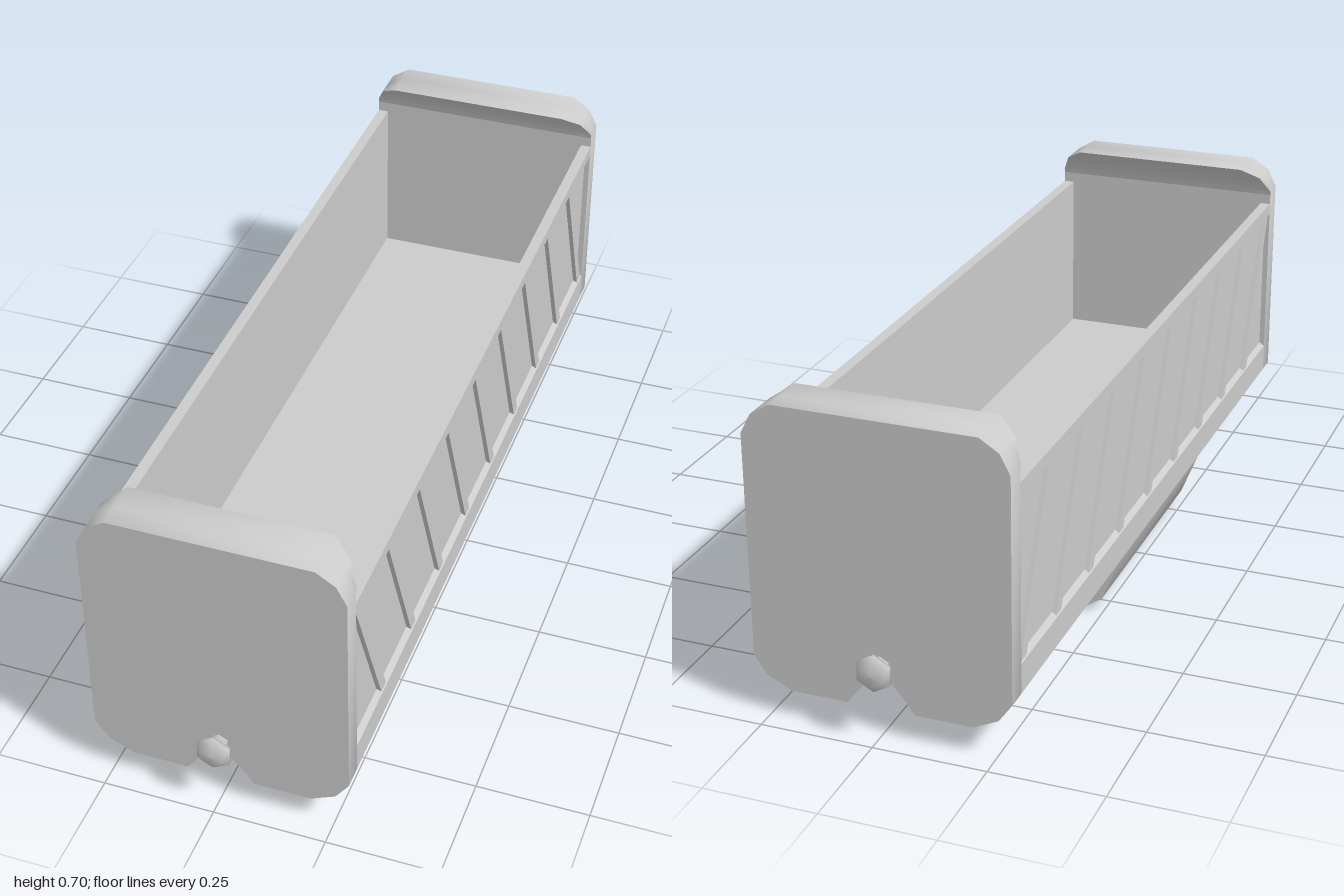
import * as THREE from 'three';
import { toCreasedNormals } from 'three/addons/utils/BufferGeometryUtils.js';

const material = new THREE.MeshStandardMaterial({ color: 0xcccccc });
const HALF = 0.285;   // half width
const BASE = 0.13;    // underside of the tub
const END = 0.9;      // inner face of the end plates

function part(name, geometry, crease = 0.75) {
  const mesh = new THREE.Mesh(crease ? toCreasedNormals(geometry, crease) : geometry, material);
  mesh.name = name;
  return mesh;
}

const mirrorX = (points) => points.map(([x, y]) => [-x, y]).reverse();

// Extrudes an outline in x, y along z from z0 to z1
function prism(points, z0, z1) {
  const shape = new THREE.Shape(points.map(([x, y]) => new THREE.Vector2(x, y)));
  const g = new THREE.ExtrudeGeometry(shape, { depth: z1 - z0, bevelEnabled: false });
  return g.translate(0, 0, z0);
}

// Open tub: floor and two walls with a recessed outer panel
function tub() {
  const side = [
    [HALF, BASE], [HALF, 0.197], [0.272, 0.205], [0.272, 0.555],
    [HALF, 0.568], [HALF, 0.595], [0.26, 0.595], [0.26, 0.2],
  ];
  return part('tub', prism([...side, ...mirrorX(side)], -END, END), 0.4);
}

// Slanted ribs across the recessed panels
function ribs(sign) {
  const group = new THREE.Group();
  group.name = sign > 0 ? 'leftRibs' : 'rightRibs';
  const depth = 0.016, y0 = 0.196, y1 = 0.567, w = 0.015;
  for (let i = 0; i < 9; i++) {
    const top = 0.88 - i * 0.2, foot = top - 0.16;
    const g = prism([[foot - w, y0], [foot + w, y0], [top + w, y1], [top - w, y1]], 0, depth);
    g.rotateY(-Math.PI / 2).translate(sign > 0 ? 0.266 + depth : -0.266, 0, 0);
    group.add(part('rib', g, 0.4));
  }
  return group;
}

// Lower half-outlines, from the inner notch to the outer edge
const endFoot = [[0.02, BASE], [0.048, 0.098], [0.075, 0.062], [0.2, 0.062], [0.255, 0.088], [HALF, BASE]];
const middleFoot = [[0.03, BASE + 0.005], [0.048, 0.095], [0.087, 0], [0.2, 0], [0.245, 0.03], [HALF, BASE]];

function pairOfFeet(name, outline, z0, z1) {
  const group = new THREE.Group();
  group.name = name;
  group.add(part('foot', prism(outline, z0, z1)), part('foot', prism(mirrorX(outline), z0, z1)));
  return group;
}

// Curved lip under the top edge of an end plate, trimmed to the plate's corners
function lip() {
  const xs = [-HALF, -0.263, -0.22, 0.22, 0.263, HALF];
  const tops = [0.63, 0.673, 0.7, 0.7, 0.673, 0.63];
  const g = new THREE.BoxGeometry(5, 1, 1, 5, 8, 1);
  const p = g.attributes.position;
  for (let i = 0; i < p.count; i++) {
    const k = Math.round(p.getX(i) + 2.5);
    const y = 0.62 + (tops[k] - 0.62) * (p.getY(i) + 0.5);
    const inner = END - 0.065 * Math.pow(Math.max(0, (y - 0.62) / 0.08), 1.6);
    p.setXYZ(i, xs[k], y, p.getZ(i) > 0 ? END : inner);
  }
  return part('lip', g);
}

// Six-sided buffer knob
function knob() {
  const profile = [[0.022, 0.94], [0.022, 0.966], [0.04, 0.975], [0.042, 0.984], [0.026, 0.997], [0, 1]];
  const g = new THREE.LatheGeometry(profile.map(([r, y]) => new THREE.Vector2(r, y)), 6);
  g.rotateX(Math.PI / 2).translate(0, 0.162, 0);
  return part('knob', g, 0);
}

function endAssembly(name) {
  const group = new THREE.Group();
  group.name = name;
  const half = [...endFoot, [HALF, 0.63], [0.263, 0.673], [0.22, 0.7]];
  group.add(
    part('endPlate', prism([...half, ...mirrorX(half)], END, 0.95)),
    lip(),
    pairOfFeet('endFeet', endFoot, 0.77, END),
    knob(),
  );
  return group;
}

export function createModel() {
  const model = new THREE.Group();
  model.name = 'wagonBody';
  const back = endAssembly('backEnd');
  back.rotation.y = Math.PI;
  model.add(
    tub(), ribs(1), ribs(-1),
    pairOfFeet('middleFeet', middleFoot, -0.3, 0.3),
    endAssembly('frontEnd'), back,
  );
  return model;
}
